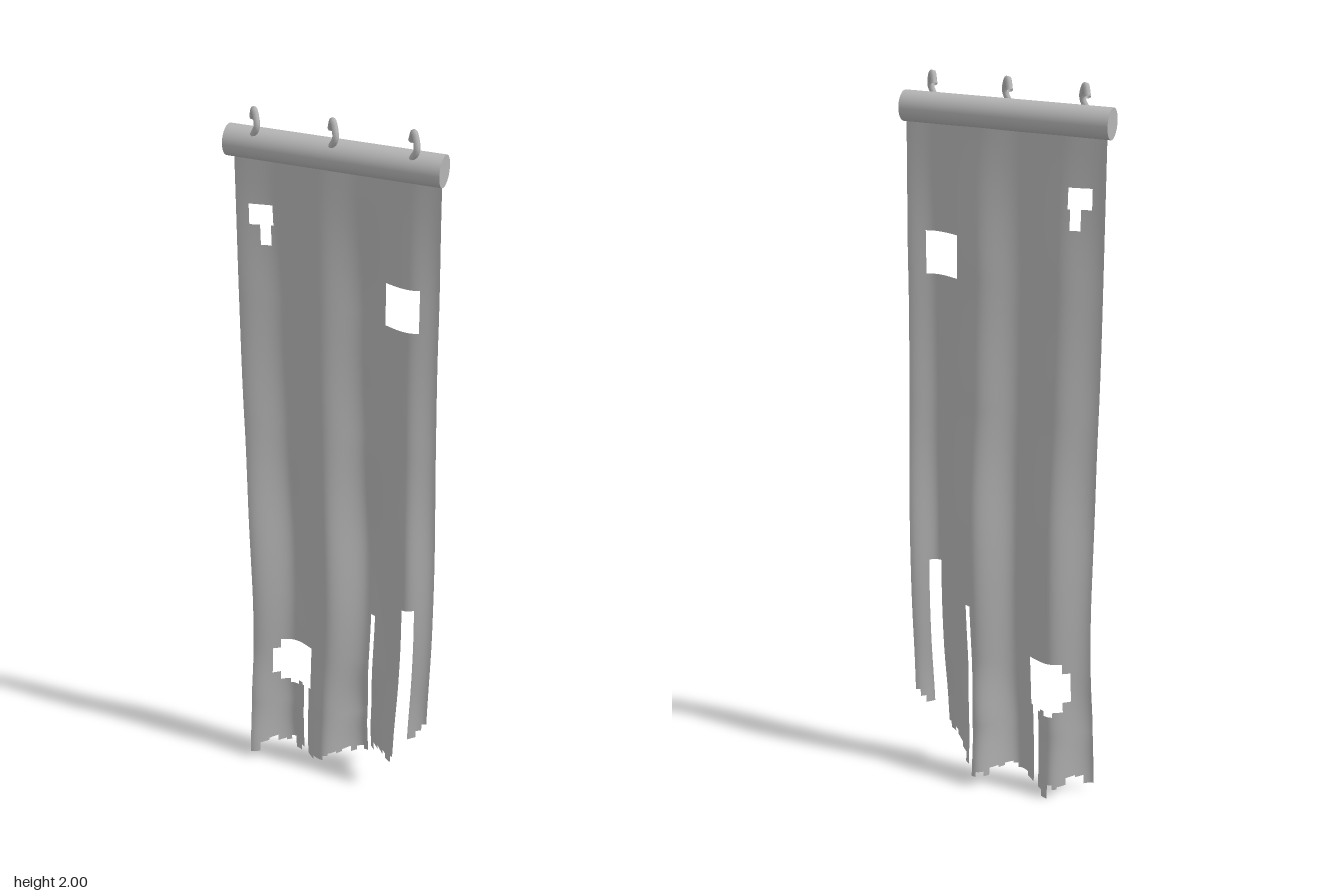
import * as THREE from 'three';

const grey = new THREE.MeshStandardMaterial({ color: 0xb4b4b4, side: THREE.DoubleSide });
grey.name = 'grey';

// Smooth interpolation through [position, value] pairs sorted by rising position
function sample(table, p) {
  if (p <= table[0][0]) return table[0][1];
  for (let i = 1; i < table.length; i++) {
    const [p0, a] = table[i - 1], [p1, b] = table[i];
    if (p <= p1) {
      const t = (p - p0) / (p1 - p0);
      return a + (b - a) * t * t * (3 - 2 * t);
    }
  }
  return table[table.length - 1][1];
}

// Folds across the width, their depth by height, and the sideways drift by height
const folds = [[-0.262, 0.6], [-0.155, -0.6], [-0.05, 0.25], [0.055, -1], [0.18, 0.5], [0.25, -0.3]];
const foldDepth = [[0, 0.075], [0.2, 0.055], [0.4, 0.038], [0.8, 0.048], [1.15, 0.032], [1.5, 0.023], [1.88, 0.007]];
const drift = [[0.03, 0], [0.62, 0.0155], [1.5, 0.003], [1.88, 0]];

// Rectangles cut out of the cloth: x0, x1, y0, y1
const cuts = [
  [-0.233, -0.171, 1.70, 1.75], [-0.202, -0.178, 1.645, 1.70],
  [0.116, 0.206, 1.49, 1.60],
  [-0.192, -0.098, 0.28, 0.43], [-0.212, -0.192, 0.31, 0.40],
  [-0.166, -0.142, 0.265, 0.28], [-0.128, -0.112, 0.27, 0.28],
  [-0.119, -0.101, 0, 0.28],
  [0.063, 0.078, 0, 0.57],
  [0.174, 0.208, 0, 0.665],
];

// Ragged hem: height of the lower edge from each x onwards
const hem = [
  [-0.3, 0.02], [-0.235, 0.05], [-0.215, 0.06], [-0.2, 0.04], [-0.18, 0.03], [-0.165, 0.045],
  [-0.15, 0.003], [-0.135, 0.02], [-0.1, 0.025], [-0.075, 0.035], [-0.045, 0.05], [-0.03, 0.06],
  [-0.015, 0.05], [0, 0.06], [0.02, 0.04], [0.035, 0.05], [0.05, 0.035], [0.078, 0.07],
  [0.087, 0.1], [0.11, 0.11], [0.135, 0.13], [0.15, 0.115], [0.165, 0.135], [0.2, 0.2],
  [0.222, 0.225], [0.238, 0.25],
];

function isCut(x, y) {
  let edge = 0;
  for (const [hx, hy] of hem) if (x >= hx) edge = hy;
  return y < edge || cuts.some(([x0, x1, y0, y1]) => x > x0 && x < x1 && y > y0 && y < y1);
}

function makeCloth() {
  const nx = 80, ny = 250, x0 = -0.262, w = 0.512, h = 1.88;
  const positions = [], full = [], kept = [];
  for (let j = 0; j <= ny; j++) {
    for (let i = 0; i <= nx; i++) {
      const x = x0 + (w * i) / nx, y = (h * j) / ny;
      // The narrow strip on the side hangs straighter than the rest
      const straighten = x > 0.2 && y < 0.62 ? 0.006 * (1 - y / 0.62) : 0;
      const z = 0.016 + sample(foldDepth, y) * sample(folds, x);
      positions.push(x + sample(drift, y) + straighten, y, z);
    }
  }
  for (let j = 0; j < ny; j++) {
    for (let i = 0; i < nx; i++) {
      const a = j * (nx + 1) + i, b = a + 1, c = a + nx + 1, d = c + 1;
      const quad = [a, b, d, a, d, c];
      full.push(...quad);
      if (!isCut(x0 + (w * (i + 0.5)) / nx, (h * (j + 0.5)) / ny)) kept.push(...quad);
    }
  }
  const geometry = new THREE.BufferGeometry();
  geometry.setAttribute('position', new THREE.Float32BufferAttribute(positions, 3));
  // Normals come from the whole sheet so shading stays smooth beside the holes
  geometry.setIndex(full);
  geometry.computeVertexNormals();
  geometry.setIndex(kept);
  return geometry;
}

export function createModel() {
  const model = new THREE.Group();
  model.name = 'tatteredBanner';
  const add = (geometry, name) => {
    const mesh = new THREE.Mesh(geometry, grey);
    mesh.name = name;
    model.add(mesh);
    return mesh;
  };

  // Hanging cloth with holes and torn strips
  add(makeCloth(), 'cloth');

  // Rod across the top
  const rod = add(new THREE.CylinderGeometry(0.0375, 0.0375, 0.53, 32).rotateZ(Math.PI / 2), 'rod');
  rod.position.set(-0.007, 1.909, 0.025);

  // Three small open hooks, turned diagonally on the rod
  const path = new THREE.CatmullRomCurve3([
    new THREE.Vector3(-0.001, 1.935, 0.044),
    new THREE.Vector3(0.011, 1.958, 0.048),
    new THREE.Vector3(0.006, 1.98, 0.04),
    new THREE.Vector3(-0.002, 1.992, 0.032),
    new THREE.Vector3(-0.013, 1.968, 0.016),
  ]);
  const hook = new THREE.TubeGeometry(path, 20, 0.008, 8);
  for (const x of [-0.2, -0.006, 0.188]) add(hook, 'hook').position.x = x;

  return model;
}
